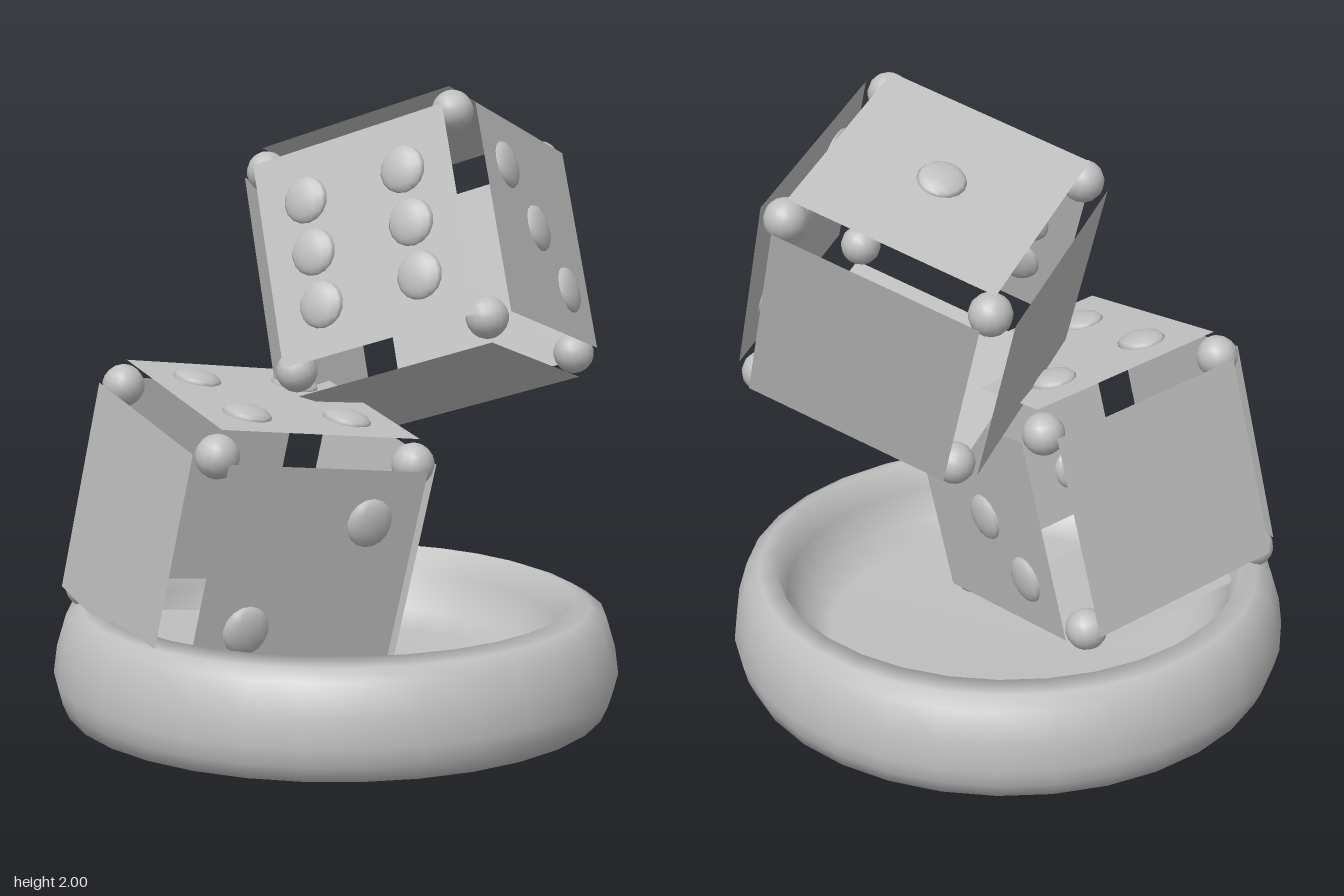
import * as THREE from 'three';

const grey = new THREE.MeshStandardMaterial({ color: 0xbfbfbf, side: THREE.DoubleSide });
grey.name = 'plain grey';

function add(parent, geometry, name) {
  const mesh = new THREE.Mesh(geometry, grey);
  mesh.name = name;
  parent.add(mesh);
  return mesh;
}

// Round dish with a rounded outside and a shallow hollow
function makeTray() {
  const profile = [
    [0, 0], [0.8, 0], [0.885, 0], [0.907, 0.05], [0.922, 0.11], [0.91, 0.2], [0.88, 0.3],
    [0.83, 0.33], [0.775, 0.35], [0.74, 0.25], [0.69, 0.14], [0.6, 0.09], [0, 0.09],
  ].map(([x, y]) => new THREE.Vector2(x, y));
  return new THREE.LatheGeometry(profile, 32);
}

// Pip layouts in units of the pip spacing
const ONE = [[0, 0]];
const TWO = [[1, 1], [-1, -1]];
const THREE_PIPS = [[-1, 1], [0, 0], [1, -1]];
const FOUR = [[1, 1], [-1, -1], [1, -1], [-1, 1]];
const SIX = [-1, 1].flatMap((u) => [-1, 0, 1].map((v) => [u, v]));

// Die made of six separate panels, corner balls and flattened pips
function makeDie(name, half, center, xAxis, yAxis, topPips, frontPips, sidePips) {
  const die = new THREE.Group();
  die.name = name;
  const faceDistance = half * 1.232;
  const faces = [
    ['top', -Math.PI / 2, 0, topPips],
    ['bottom', Math.PI / 2, 0, []],
    ['front', 0, 0, frontPips],
    ['back', 0, Math.PI, []],
    ['right', 0, Math.PI / 2, sidePips],
    ['left', 0, -Math.PI / 2, []],
  ];
  for (const [side, rx, ry, pips] of faces) {
    const face = new THREE.Group();
    face.name = side + 'Face';
    face.rotation.set(rx, ry, 0);
    die.add(face);
    add(face, new THREE.PlaneGeometry(half * 2, half * 2), side + 'Panel').position.z = faceDistance;
    for (const [u, v] of pips) {
      const pip = add(face, new THREE.SphereGeometry(half * 0.225, 12, 8), 'pip');
      pip.scale.z = 0.36;
      pip.position.set(u * half * 0.51, v * half * 0.51, faceDistance);
    }
  }
  // Corner balls
  for (const x of [-1, 1]) for (const y of [-1, 1]) for (const z of [-1, 1]) {
    add(die, new THREE.SphereGeometry(half * 0.195, 14, 10), 'cornerBall')
      .position.set(x, y, z).multiplyScalar(half * 0.99);
  }
  // Tilt the die from two of its axes
  const x = new THREE.Vector3(...xAxis).normalize();
  const z = new THREE.Vector3().crossVectors(x, new THREE.Vector3(...yAxis)).normalize();
  const y = new THREE.Vector3().crossVectors(z, x);
  die.quaternion.setFromRotationMatrix(new THREE.Matrix4().makeBasis(x, y, z));
  die.position.set(...center);
  return die;
}

export function createModel() {
  const model = new THREE.Group();
  model.name = 'diceInTray';
  add(model, makeTray(), 'tray');
  model.add(makeDie('lowerDie', 0.35, [-0.3, 0.603, 0.1],
    [0.898, -0.129, -0.421], [0.185, 0.976, 0.108], FOUR, TWO, THREE_PIPS));
  model.add(makeDie('upperDie', 0.34, [0.29, 1.423, -0.11],
    [0.83, 0.307, 0.466], [-0.11, 0.909, -0.402], ONE, SIX, THREE_PIPS));
  return model;
}
